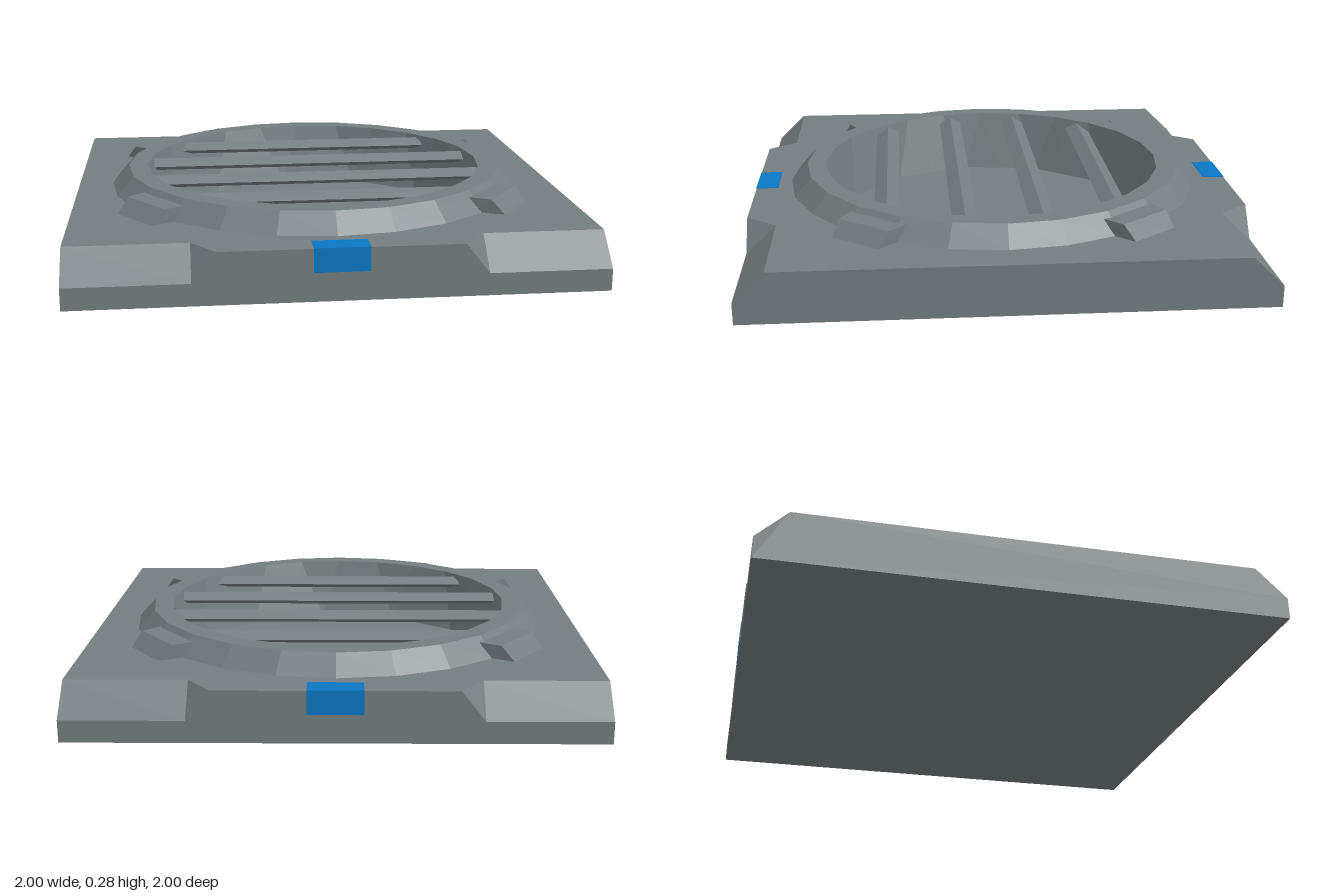
import * as THREE from 'three';

const rad = THREE.MathUtils.degToRad;

// Un-shared vertices give every facet its own normal
function faceted(geometry) {
  const g = geometry.index ? geometry.toNonIndexed() : geometry;
  g.computeVertexNormals();
  return g;
}

// Flat facets from corner points and polygons; flip reverses the winding
function facets(points, polygons, flip = false) {
  const pos = [];
  for (const poly of polygons) {
    const p = flip ? [...poly].reverse() : poly;
    for (let i = 1; i < p.length - 1; i++) pos.push(...points[p[0]], ...points[p[i]], ...points[p[i + 1]]);
  }
  const g = new THREE.BufferGeometry();
  g.setAttribute('position', new THREE.Float32BufferAttribute(pos, 3));
  g.computeVertexNormals();
  return g;
}

const outline = (pts) => new THREE.Shape(pts.map(([x, y]) => new THREE.Vector2(x, y)));

export function createModel() {
  const model = new THREE.Group();
  const metal = new THREE.MeshStandardMaterial({ color: 0x737d80 });
  metal.name = 'grey metal';
  const blue = new THREE.MeshStandardMaterial({ color: 0x0a78c4 });
  blue.name = 'blue marker';

  const add = (name, geometry, material = metal, parent = model) => {
    const mesh = new THREE.Mesh(geometry, material);
    mesh.name = name;
    parent.add(mesh);
    return mesh;
  };

  const H = 0.2, LOW = 0.085;   // slab top, lower edge of the chamfers
  const IN = 0.45, OUT = 0.54, BACK = 0.88;

  // Slab: top plate with a round opening
  const base = new THREE.Group();
  base.name = 'base';
  model.add(base);
  const half = [[1, BACK], [OUT, BACK], [IN, 1], [-IN, 1], [-OUT, BACK], [-1, BACK]];
  const top = outline([...half, ...half.map(([x, y]) => [-x, -y])]);
  const opening = [];
  for (let i = 0; i < 24; i++) opening.push(new THREE.Vector2(0.8 * Math.sin(rad(i * 15)), 0.8 * Math.cos(rad(i * 15))));
  top.holes.push(new THREE.Path(opening));
  add('topPlate', new THREE.ShapeGeometry(top).rotateX(-Math.PI / 2).translate(0, H, 0), metal, base);
  add('bottomPlate', new THREE.PlaneGeometry(2, 2).rotateX(Math.PI / 2), metal, base);

  // Slab: upright edges
  const longEdge = outline([[-1, 0], [1, 0], [1, LOW], [OUT, LOW], [IN, H], [-IN, H], [-OUT, LOW], [-1, LOW]]);
  const sideEdge = outline([[-1, 0], [1, 0], [1, LOW], [BACK, H], [-BACK, H], [-1, LOW]]);
  ['frontEdge', 'leftEdge', 'backEdge', 'rightEdge'].forEach((name, i) => {
    const g = new THREE.ShapeGeometry(i % 2 ? sideEdge : longEdge).translate(0, 0, 1);
    add(name, g.rotateY(i * Math.PI / 2), metal, base);
  });

  // Corner chamfers with their slanted end walls
  for (const sx of [1, -1]) for (const sz of [1, -1]) {
    const pts = [[OUT, H, BACK], [OUT, LOW, 1], [1, LOW, 1], [1, H, BACK], [IN, H, 1]]
      .map(([x, y, z]) => [sx * x, y, sz * z]);
    add('cornerChamfer', facets(pts, [[0, 1, 2, 3], [0, 4, 1]], sx * sz < 0), metal, base);
  }

  // Raised rim and the well inside it; the foot of the well is a turned twelve-sided outline
  const FLOOR = 0.02, TURN = rad(7);
  const profile = [[0.86, H], [0.79, 0.277], [0.71, 0.277], [0.66, FLOOR]].map(([r, y]) => new THREE.Vector2(r, y));
  const rim = new THREE.LatheGeometry(profile, 24);
  const p = rim.attributes.position;
  for (let i = 3; i < p.count; i += 4) {
    const step = (i - 3) / 4;
    const a = rad(step * 15) + TURN;
    const r = step % 2 ? 0.66 * Math.cos(rad(15)) : 0.66;
    p.setXYZ(i, r * Math.sin(a), FLOOR, r * Math.cos(a));
  }
  add('ventRim', faceted(rim));
  add('ventFloor', new THREE.CircleGeometry(0.66, 12, TURN).rotateX(-Math.PI / 2).translate(0, FLOOR, 0));

  // Ridged slats across the opening
  for (const z of [-0.45, -0.15, 0.15, 0.45]) {
    const len = z * z > 0.1 ? 1.12 : 1.38;
    const section = outline([[-0.05, 0], [0, -0.025], [0.05, 0], [0, 0.027]]);
    const slat = new THREE.ExtrudeGeometry(section, { depth: len, bevelEnabled: false });
    slat.translate(0, 0, -len / 2).rotateY(Math.PI / 2);
    add('slat', slat).position.set(0, 0.238, z);
  }

  // Four wedge clips around the rim
  const clipPoints = [
    [0.77, H, -0.14], [0.94, H, -0.11], [0.885, 0.256, -0.12], [0.77, 0.256, -0.137],
    [0.77, H, 0.14], [0.94, H, 0.11], [0.885, 0.256, 0.12], [0.77, 0.256, 0.137],
  ];
  const clip = facets(clipPoints, [[0, 3, 2, 1], [4, 5, 6, 7], [1, 2, 6, 5], [2, 3, 7, 6], [0, 4, 7, 3]]);
  for (const deg of [37.2, 142.8, 217.2, 322.8]) add('rimClip', clip).rotation.y = rad(deg);

  // Blue markers wrapped over the front and back edges
  for (const s of [1, -1]) {
    add('edgeMarkerTop', new THREE.BoxGeometry(0.206, 0.004, 0.092), blue).position.set(0, H, s * 0.956);
    add('edgeMarkerFace', new THREE.BoxGeometry(0.206, 0.092, 0.004), blue).position.set(0, 0.156, s);
  }
  return model;
}
